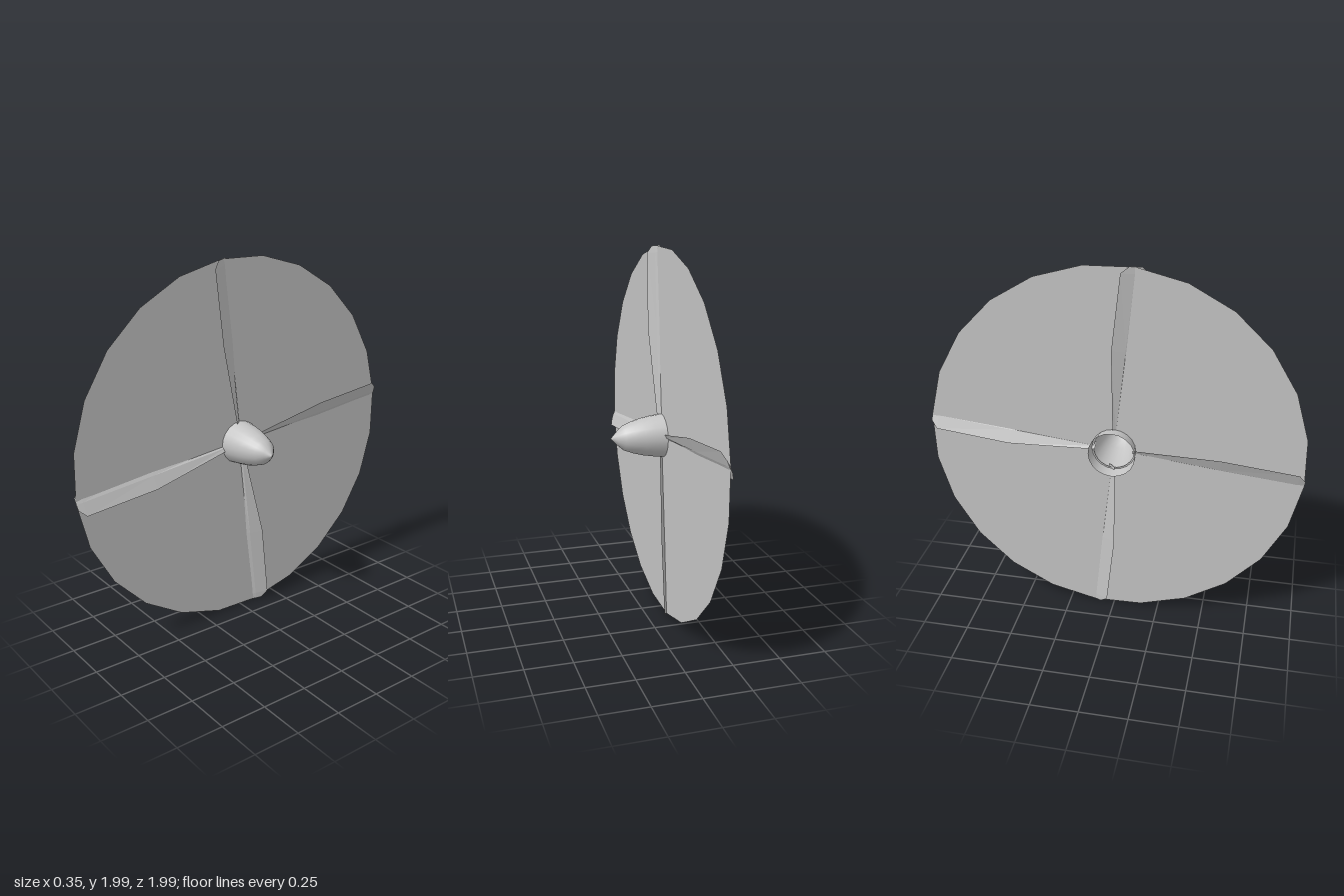
import * as THREE from 'three';

const AXIS_Y = 1;
const BLADE_X = -0.108;
const TILT = THREE.MathUtils.degToRad(6.2);

// One twisted blade along +y: rows of [radius, half chord, half pitch, half thickness]
function bladeGeometry() {
  const rows = [
    [0.1, 0.016, 0.013, 0.004],
    [0.562, 0.068, 0.034, 0.006],
    [0.965, 0.067, 0.029, 0.004],
    [1.0, 0.03, 0.013, 0.002],
  ];
  const pos = [];
  const idx = [];
  for (const [r, c, p, t] of rows) {
    // leading edge, front ridge, trailing edge, back ridge
    pos.push(p, r, c, t, r, 0, -p, r, -c, -t, r, 0);
  }
  for (let i = 0; i < rows.length - 1; i++) {
    for (let j = 0; j < 4; j++) {
      const a = i * 4 + j, b = i * 4 + ((j + 1) % 4);
      idx.push(a, b, a + 4, b, b + 4, a + 4);
    }
  }
  // tip cap
  const e = (rows.length - 1) * 4;
  idx.push(e, e + 1, e + 2, e, e + 2, e + 3);
  const g = new THREE.BufferGeometry();
  g.setAttribute('position', new THREE.Float32BufferAttribute(pos, 3));
  g.setIndex(idx);
  const flat = g.toNonIndexed();
  flat.computeVertexNormals();
  return flat;
}

export function createModel() {
  const model = new THREE.Group();
  model.name = 'propeller';
  const grey = new THREE.MeshStandardMaterial({ color: 0xc4c4c4, side: THREE.DoubleSide });
  grey.name = 'light grey';

  const add = (name, geometry, x) => {
    const mesh = new THREE.Mesh(geometry, grey);
    mesh.name = name;
    mesh.position.set(x, AXIS_Y, 0);
    model.add(mesh);
    return mesh;
  };

  // Hollow pointed spinner, open at the back
  const profile = [
    [0.125, -0.18], [0.117, -0.11], [0.109, -0.05], [0.1, 0],
    [0.085, 0.055], [0.066, 0.103], [0.035, 0.138], [0, 0.172],
  ].map(([r, y]) => new THREE.Vector2(r, y));
  const spinner = new THREE.LatheGeometry(profile, 20);
  spinner.rotateZ(-Math.PI / 2);
  add('spinner', spinner, 0);

  // Thin disc swept by the blades
  const disc = new THREE.RingGeometry(0.108, 1, 24, 1, TILT);
  disc.rotateY(Math.PI / 2);
  add('sweptDisc', disc, BLADE_X - 0.004);

  // Four blades around the hub
  const blade = bladeGeometry();
  for (let i = 0; i < 4; i++) {
    add(`blade${i + 1}`, blade, BLADE_X).rotation.x = TILT + (i * Math.PI) / 2;
  }
  return model;
}
